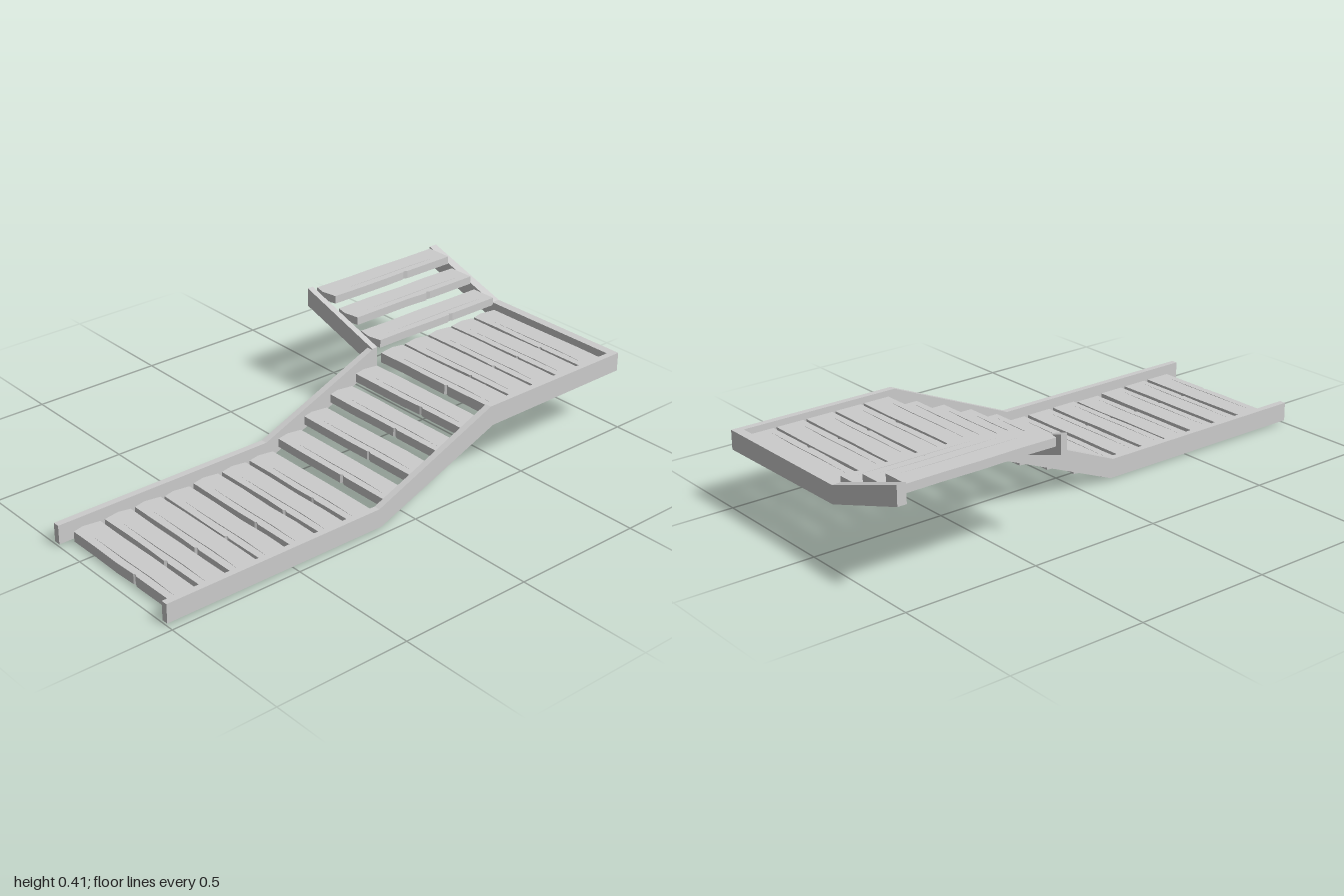
import * as THREE from 'three';

const material = new THREE.MeshStandardMaterial({ color: 0xcccccc, flatShading: true, side: THREE.DoubleSide });

// small seeded generator for the worn plank edges
let seed = 7;
const rand = () => (seed = (seed * 16807) % 2147483647) / 2147483647;
const jitter = (a) => (rand() - 0.5) * 2 * a;

const shapeOf = (pts) => new THREE.Shape(pts.map(([x, y]) => new THREE.Vector2(x, y)));

function addMesh(group, name, geometry) {
  const mesh = new THREE.Mesh(geometry, material);
  mesh.name = name;
  group.add(mesh);
  return mesh;
}

// weathered board: long axis x, top at y = thickness, chipped outline and a thin split
function plankGeometry(length, width, thickness) {
  const h = length / 2, w = width / 2;
  const pts = [[-h, jitter(w * 0.2)], [-h + 0.01, -w + 0.003]];
  for (const t of [-0.55, -0.1, 0.2]) pts.push([h * t, -w + 0.003 + jitter(0.003)]);
  pts.push([h * 0.22, -w + 0.009], [h * 0.27, -w + 0.003]);
  pts.push([h, -w + 0.004], [h, w - 0.004]);
  for (const t of [0.5, 0.05, -0.5]) pts.push([h * t, w - 0.003 + jitter(0.003)]);
  pts.push([-h + 0.01, w - 0.003]);
  const shape = shapeOf(pts);
  const y = -w * 0.4;
  const split = [[-h * 0.75, y], [-h * 0.1, y - 0.003], [h * 0.3, y - 0.001], [h * 0.9, y - 0.003],
    [h * 0.4, y + 0.002], [-h * 0.1, y]];
  shape.holes.push(new THREE.Path(split.map(([x, v]) => new THREE.Vector2(x, v))));
  return new THREE.ExtrudeGeometry(shape, { depth: thickness, bevelEnabled: false }).rotateX(-Math.PI / 2);
}

// rail with a (z, y) outline, running front to back
function sideRail(group, name, pts, xMax, depth) {
  const g = new THREE.ExtrudeGeometry(shapeOf(pts), { depth, bevelEnabled: false });
  g.rotateY(-Math.PI / 2).translate(xMax, 0, 0);
  return addMesh(group, name, g);
}

// rail with an (x, y) outline, running side to side
function crossRail(group, name, pts, zMin, depth) {
  const g = new THREE.ExtrudeGeometry(shapeOf(pts), { depth, bevelEnabled: false });
  g.translate(0, 0, zMin);
  return addMesh(group, name, g);
}

export function createModel() {
  const model = new THREE.Group();
  model.name = 'woodenWalkway';
  seed = 7;

  // bent side rails
  const lowerEnd = [[1, 0.01], [1, 0.08], [0.14, 0.08]];
  sideRail(model, 'leftRail', [...lowerEnd, [-0.36, 0.29], [-1, 0.29], [-1, 0.22], [-0.375, 0.215], [0.13, 0.01]], 0.475, 0.024);
  sideRail(model, 'rightRail', [...lowerEnd, [-0.36, 0.29], [-0.375, 0.29], [-0.375, 0.215], [0.13, 0.01]], -0.116, 0.025);

  // back rail and the short rail of the rising side branch
  crossRail(model, 'backRail',
    [[-0.475, 0.335], [-0.125, 0.225], [0.475, 0.22], [0.475, 0.29], [-0.125, 0.29], [-0.475, 0.405]], -1, 0.034);
  crossRail(model, 'branchRail',
    [[-0.475, 0.335], [-0.116, 0.223], [-0.116, 0.29], [-0.475, 0.405]], -0.375, 0.024);

  // main planks: [back z, front z, underside y, thickness]
  const planks = new THREE.Group();
  planks.name = 'mainPlanks';
  model.add(planks);
  const rows = [];
  for (let i = 0; i < 5; i++) rows.push([-0.962 + i * 0.117, -0.85 + i * 0.117, 0.23, 0.037]);
  rows.push([-0.37, -0.262, 0.19, 0.032], [-0.25, -0.143, 0.147, 0.032],
    [-0.132, -0.022, 0.1, 0.032], [-0.012, 0.096, 0.052, 0.032]);
  for (let i = 0; i < 7; i++) rows.push([0.116 + i * 0.121, 0.226 + i * 0.121, i === 3 ? 0 : 0.005, 0.038]);
  rows.forEach(([z0, z1, y, t], i) => {
    const plank = addMesh(planks, `mainPlank${i + 1}`, plankGeometry(0.568, z1 - z0, t));
    plank.position.set(0.168, y, (z0 + z1) / 2);
  });

  // branch steps, laid front to back
  const steps = new THREE.Group();
  steps.name = 'branchPlanks';
  model.add(steps);
  [[-0.42, 0.368], [-0.296, 0.326], [-0.172, 0.28]].forEach(([x, y], i) => {
    const plank = addMesh(steps, `branchPlank${i + 1}`, plankGeometry(0.582, 0.11, 0.03));
    plank.rotation.y = Math.PI / 2;
    plank.position.set(x, y, -0.674);
  });

  return model;
}
